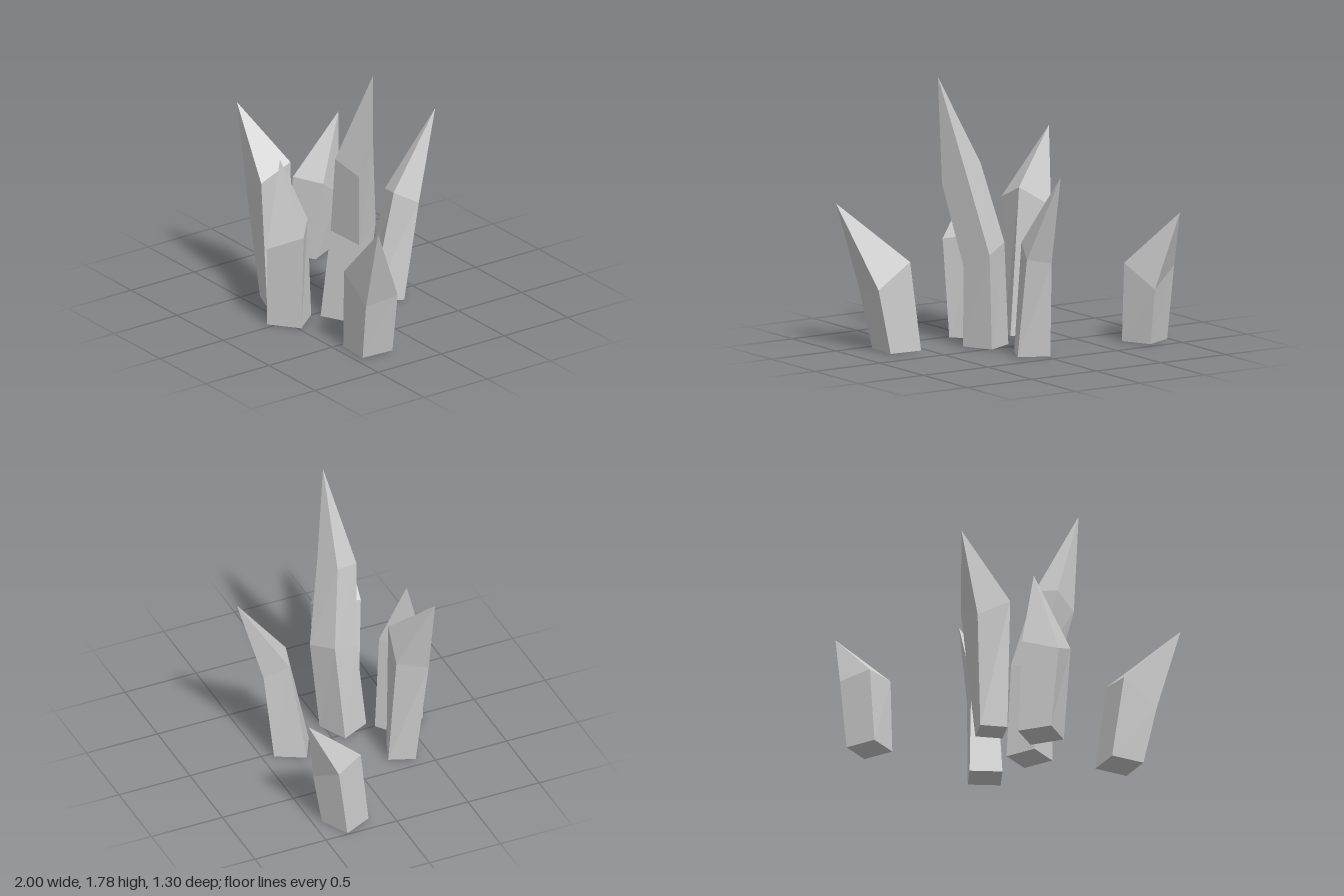
import * as THREE from 'three';

const material = new THREE.MeshStandardMaterial({ color: 0xcccccc, flatShading: true });

// Four-cornered section centred on (x, z): turn in degrees, two half-diagonals, a height for each corner.
function section(x, z, turn, radiusA, radiusB = radiusA, heights = [0, 0, 0, 0]) {
  return heights.map((y, i) => {
    const angle = THREE.MathUtils.degToRad(turn + i * 90);
    const radius = i % 2 ? radiusB : radiusA;
    return [x + radius * Math.sin(angle), y, z + radius * Math.cos(angle)];
  });
}

// Faceted shard: skins the sections from the ground up and closes them in a tip.
function crystal(name, tip, ...sections) {
  const points = [];
  const triangle = (...corners) => points.push(...corners.flat());
  const [a, b, c, d] = sections[0];
  triangle(a, c, b);
  triangle(a, d, c);
  sections.forEach((ring, r) => {
    const above = sections[r + 1];
    for (let i = 0; i < 4; i++) {
      const j = (i + 1) % 4;
      if (above) {
        triangle(ring[i], ring[j], above[j]);
        triangle(ring[i], above[j], above[i]);
      } else {
        triangle(ring[i], ring[j], tip);
      }
    }
  });
  const geometry = new THREE.BufferGeometry();
  geometry.setAttribute('position', new THREE.Float32BufferAttribute(points, 3));
  geometry.computeVertexNormals();
  const mesh = new THREE.Mesh(geometry, material);
  mesh.name = name;
  return mesh;
}

export function createModel() {
  const group = new THREE.Group();
  group.name = 'crystalCluster';
  group.add(
    // Tallest shard, with a bend halfway up
    crystal('tallCentreCrystal', [0.453, 1.785, 0.143],
      section(0.098, 0.121, -19, 0.15),
      section(0.144, 0.074, -20, 0.15, 0.135, [0.6, 0.535, 0.625, 0.68]),
      section(0.265, 0.154, -22, 0.126, 0.126, [1.155, 1.07, 1.175, 1.2])),
    // Shorter shards around it: square foot, slanted shoulder, tip
    crystal('frontCrystal', [-0.09, 1.1, 0.484],
      section(-0.022, 0.46, -7, 0.161),
      section(0, 0.49, -1, 0.158, 0.18, [0.545, 0.647, 0.68, 0.615])),
    crystal('frontRightCrystal', [-0.61, 1.31, 0.447],
      section(-0.32, 0.34, 24, 0.125),
      section(-0.378, 0.365, 38, 0.168, 0.146, [0.87, 0.968, 0.83, 0.743])),
    crystal('frontLeftCrystal', [1, 0.962, 0.5],
      section(0.648, 0.325, 42, 0.161),
      section(0.721, 0.354, 43, 0.167, 0.175, [0.39, 0.42, 0.58, 0.555])),
    crystal('backCrystal', [0.04, 1.215, -0.652],
      section(0.01, -0.281, 17, 0.149),
      section(0.046, -0.383, 26, 0.112, 0.123, [0.735, 0.65, 0.62, 0.7])),
    crystal('backRightCrystal', [-0.925, 0.87, -0.588],
      section(-0.848, -0.295, -19, 0.15),
      section(-0.845, -0.352, -20, 0.153, 0.165, [0.52, 0.52, 0.366, 0.49])),
  );
  return group;
}
